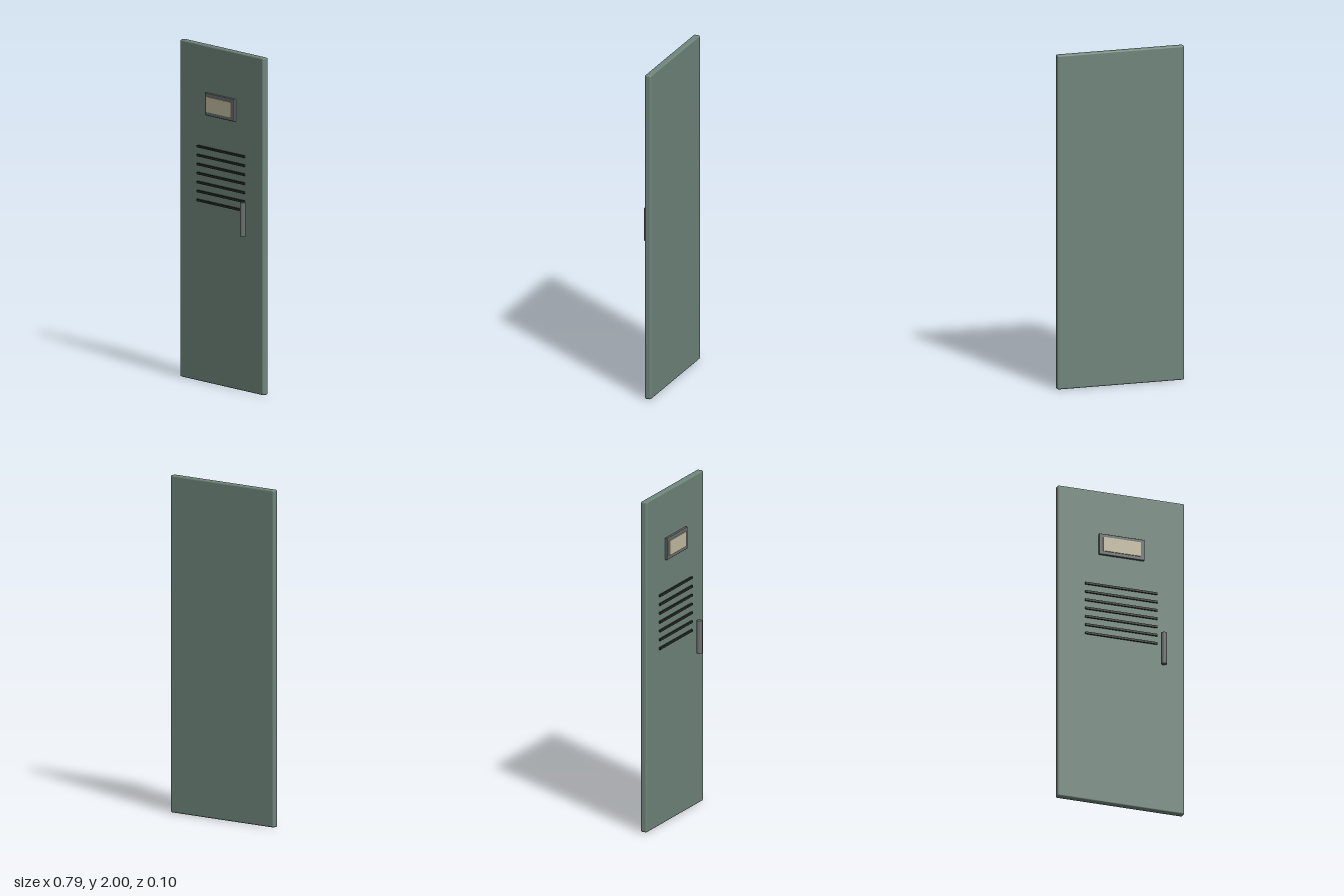
import * as THREE from 'three';
import { RoundedBoxGeometry } from 'three/addons/geometries/RoundedBoxGeometry.js';

export function createModel() {
  const group = new THREE.Group();
  const paint = new THREE.MeshStandardMaterial({ color: 0x6f857b });
  const metal = new THREE.MeshStandardMaterial({ color: 0x6b706f });
  const dark = new THREE.MeshStandardMaterial({ color: 0x252b29 });
  const paper = new THREE.MeshStandardMaterial({ color: 0xc4bda3 });

  const add = (name, geometry, material, x, y, z) => {
    const mesh = new THREE.Mesh(geometry, material);
    mesh.name = name;
    mesh.position.set(x, y, z);
    group.add(mesh);
  };

  // Door panel with softened edges
  add('doorPanel', new RoundedBoxGeometry(0.786, 2, 0.04, 3, 0.01), paint, 0, 1, -0.028);

  // Label holder and its card
  add('labelFrame', new RoundedBoxGeometry(0.28, 0.133, 0.016, 2, 0.004), metal, 0, 1.655, -0.001);
  add('labelCard', new THREE.BoxGeometry(0.234, 0.09, 0.006), paper, 0, 1.655, 0.009);

  // Row of vent slots
  for (let i = 0; i < 7; i++) {
    add('ventSlot' + (i + 1), new THREE.BoxGeometry(0.446, 0.013, 0.012), dark, 0, 1.392 - i * 0.0533, -0.004);
  }

  // Upright handle bar, standing clear of the panel
  add('handle', new THREE.CylinderGeometry(0.017, 0.017, 0.2, 24), metal, 0.252, 1.03, 0.031);

  return group;
}
